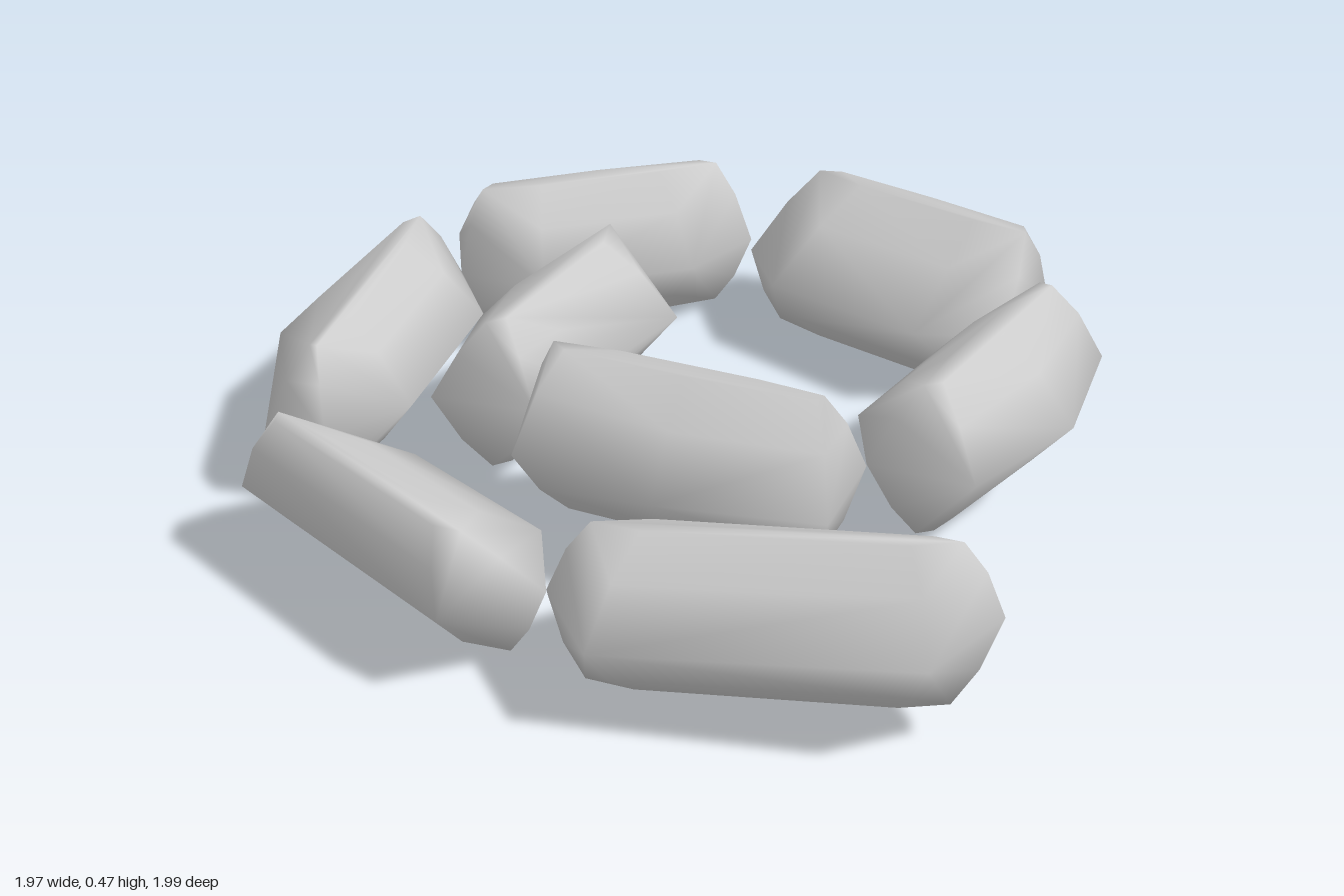
import * as THREE from 'three';
import { ConvexGeometry } from 'three/addons/geometries/ConvexGeometry.js';
import { mergeVertices } from 'three/addons/utils/BufferGeometryUtils.js';

// Points [x, z] where neighbouring beads touch, from the inner end of the spiral outwards
const joints = [
  [-0.43, -0.39], [-0.23, 0.27], [0.52, 0.16], [0.56, -0.58], [-0.2, -0.79],
  [-0.76, -0.28], [-0.63, 0.51], [0.1, 0.8], [0.98, 0.57],
];

// Beads in chain order: bottom, top, rise towards the next joint, sideways lean
// of the [bottom, top] ridge in half widths, and body corners [x, z]
const beads = [
  { name: 'innerRightBead', bottom: 0.05, top: 0.42, rise: 0, lean: [0, 0],
    corners: [[-0.15, -0.27], [-0.2, 0.1], [-0.47, 0.32], [-0.57, -0.06]] },
  { name: 'innerFrontBead', bottom: 0.06, top: 0.46, rise: -0.02, lean: [0, 0],
    corners: [[-0.06, 0.12], [0.33, 0.09], [0.54, 0.41], [0.19, 0.52], [-0.16, 0.49]] },
  { name: 'leftBead', bottom: 0.06, top: 0.43, rise: -0.02, lean: [0.1, 0.1],
    corners: [[0.81, -0.56], [0.86, -0.2], [0.76, 0.14], [0.42, -0.03], [0.46, -0.4]] },
  { name: 'backLeftBead', bottom: 0.02, top: 0.39, rise: -0.03, lean: [-0.15, 0.55],
    corners: [[-0.08, -1], [0.27, -0.96], [0.59, -0.82], [0.36, -0.51], [-0.06, -0.62]] },
  { name: 'backRightBead', bottom: 0.01, top: 0.4, rise: 0, lean: [0, 0],
    corners: [[-0.89, -0.48], [-0.69, -0.77], [-0.39, -0.93], [-0.26, -0.57], [-0.54, -0.31]] },
  { name: 'rightBead', bottom: 0.03, top: 0.4, rise: -0.03, lean: [0, 0],
    corners: [[-0.6, -0.12], [-0.53, 0.31], [-0.77, 0.54], [-0.99, 0.17], [-0.98, -0.18]] },
  { name: 'frontRightBead', bottom: 0.01, top: 0.35, rise: 0, lean: [0.05, 0.6],
    corners: [[-0.42, 0.47], [-0.02, 0.61], [-0.04, 0.99], [-0.68, 0.75]] },
  { name: 'frontLeftBead', bottom: 0.02, top: 0.35, rise: 0.07, lean: [0.25, -0.1],
    corners: [[0.2, 0.59], [0.88, 0.47], [0.91, 0.79], [0.28, 0.97]] },
];

// Layers from bottom to top: height from -1 to 1, length scale, width scale
const layers = [
  [-1, 0.8, 0.12], [-0.6, 0.91, 0.55], [0, 1, 1], [0.6, 0.91, 0.55], [1, 0.8, 0.12],
];

// Long axis of a plan outline, pointing from one tip to the other
function longAxis(offsets, tipToTip) {
  let xx = 0, zz = 0, xz = 0;
  for (const { x, y } of offsets) {
    xx += x * x;
    zz += y * y;
    xz += x * y;
  }
  const angle = 0.5 * Math.atan2(2 * xz, xx - zz);
  const axis = new THREE.Vector2(Math.cos(angle), Math.sin(angle));
  return axis.dot(tipToTip) < 0 ? axis.negate() : axis;
}

// Faceted capsule: the plan outline shrinks towards a leaning ridge above and below
function beadGeometry({ bottom, top, rise, lean, corners }, startTip, endTip) {
  const outline = [startTip, ...corners, endTip].map(([x, z]) => new THREE.Vector2(x, z));
  const centre = new THREE.Vector2();
  for (const p of outline) centre.add(p);
  centre.divideScalar(outline.length);
  const offsets = outline.map((p) => p.clone().sub(centre));
  const along = longAxis(offsets, outline.at(-1).clone().sub(outline[0]));
  const across = new THREE.Vector2(-along.y, along.x);
  const halfLength = Math.max(...offsets.map((p) => Math.abs(p.dot(along))));
  const halfWidth = Math.max(...offsets.map((p) => Math.abs(p.dot(across))));

  const points = [];
  for (const [height, lengthScale, widthScale] of layers) {
    const shift = lean[height > 0 ? 1 : 0] * Math.abs(height) * halfWidth;
    for (const offset of offsets) {
      const u = offset.dot(along) * lengthScale;
      const v = offset.dot(across) * widthScale + shift;
      const lift = rise * (u / halfLength + 1) / 2;
      points.push(new THREE.Vector3(
        centre.x + along.x * u + across.x * v,
        THREE.MathUtils.lerp(bottom, top, (height + 1) / 2) + lift,
        centre.y + along.y * u + across.y * v,
      ));
    }
  }
  // Shared corners give smooth shading over the facets
  const hull = new ConvexGeometry(points);
  hull.deleteAttribute('normal');
  const smooth = mergeVertices(hull);
  smooth.computeVertexNormals();
  return smooth;
}

export function createModel() {
  const group = new THREE.Group();
  group.name = 'beadSpiral';
  const material = new THREE.MeshStandardMaterial({ color: 0xcccccc });
  beads.forEach((bead, i) => {
    const mesh = new THREE.Mesh(beadGeometry(bead, joints[i], joints[i + 1]), material);
    mesh.name = bead.name;
    group.add(mesh);
  });
  return group;
}
